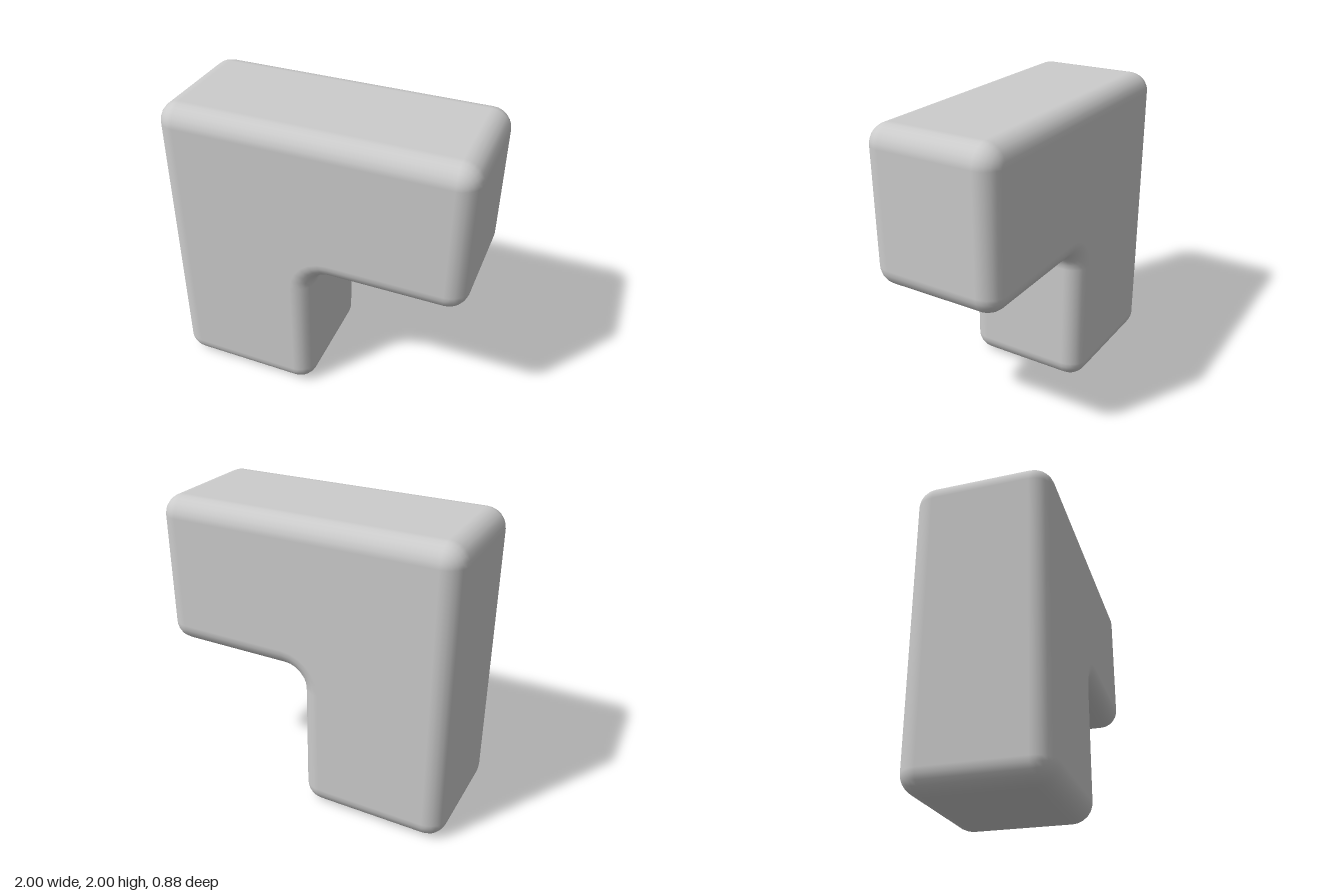
import * as THREE from 'three';

const R = 0.13;          // edge rounding radius
const HALF_DEPTH = 0.44;
const STEPS = 6;         // segments per rounded quarter

// Corner arcs, counter-clockwise: arc centre, start angle of the outward normal, turn (+1 convex, -1 concave)
const CORNERS = [
  [-1 + R, R, 180, 1],
  [-R, R, 270, 1],
  [R, 1 - R, 0, -1],
  [1 - R, 1 + R, -90, 1],
  [1 - R, 2 - R, 0, 1],
  [-1 + R, 2 - R, 90, 1],
];

// Outline points and normals of the L, inset by d
function outline(d) {
  const ring = [];
  for (const [cx, cy, start, turn] of CORNERS) {
    const radius = turn > 0 ? R - d : -(R + d);
    for (let i = 0; i <= STEPS; i++) {
      const a = THREE.MathUtils.degToRad(start + turn * 90 * i / STEPS);
      const nx = Math.cos(a), ny = Math.sin(a);
      ring.push({ x: cx + nx * radius, y: cy + ny * radius, nx, ny });
    }
  }
  return ring;
}

function roundedLGeometry() {
  const positions = [], normals = [], index = [];

  // Stack of outlines from back to front, inset along the rounded rims
  const layers = [];
  for (const side of [-1, 1]) {
    for (let i = 0; i <= STEPS; i++) {
      const t = (i / STEPS) * Math.PI / 2;
      layers.push([side < 0 ? t - Math.PI / 2 : t, side]);
    }
  }
  for (const [a, side] of layers) {
    const c = Math.cos(a), s = Math.sin(a);
    for (const p of outline(R * (1 - c))) {
      positions.push(p.x, p.y, side * (HALF_DEPTH - R) + R * s);
      normals.push(p.nx * c, p.ny * c, s);
    }
  }

  // Walls between neighbouring outlines
  const n = CORNERS.length * (STEPS + 1);
  for (let i = 0; i < layers.length - 1; i++) {
    for (let j = 0; j < n; j++) {
      const k = (j + 1) % n;
      const a = i * n + j, b = i * n + k, c = b + n, d = a + n;
      index.push(a, b, c, a, c, d);
    }
  }

  // Flat faces: convex corners have shrunk to one point, the concave one keeps its arc
  const rim = outline(R);
  const used = rim.map((_, j) => j).filter(j =>
    CORNERS[Math.floor(j / (STEPS + 1))][3] < 0 || j % (STEPS + 1) === 0);
  const contour = used.map(j => new THREE.Vector2(rim[j].x, rim[j].y));
  const front = (layers.length - 1) * n;
  for (const face of THREE.ShapeUtils.triangulateShape(contour, [])) {
    const [a, b, c] = face.map(f => used[f]);
    index.push(front + a, front + b, front + c, a, c, b);
  }

  const geometry = new THREE.BufferGeometry();
  geometry.setAttribute('position', new THREE.Float32BufferAttribute(positions, 3));
  geometry.setAttribute('normal', new THREE.Float32BufferAttribute(normals, 3));
  geometry.setIndex(index);
  return geometry;
}

export function createModel() {
  const group = new THREE.Group();
  group.name = 'roundedLBlock';
  const body = new THREE.Mesh(roundedLGeometry(), new THREE.MeshStandardMaterial({ color: 0xcccccc }));
  body.name = 'body';
  group.add(body);
  return group;
}
